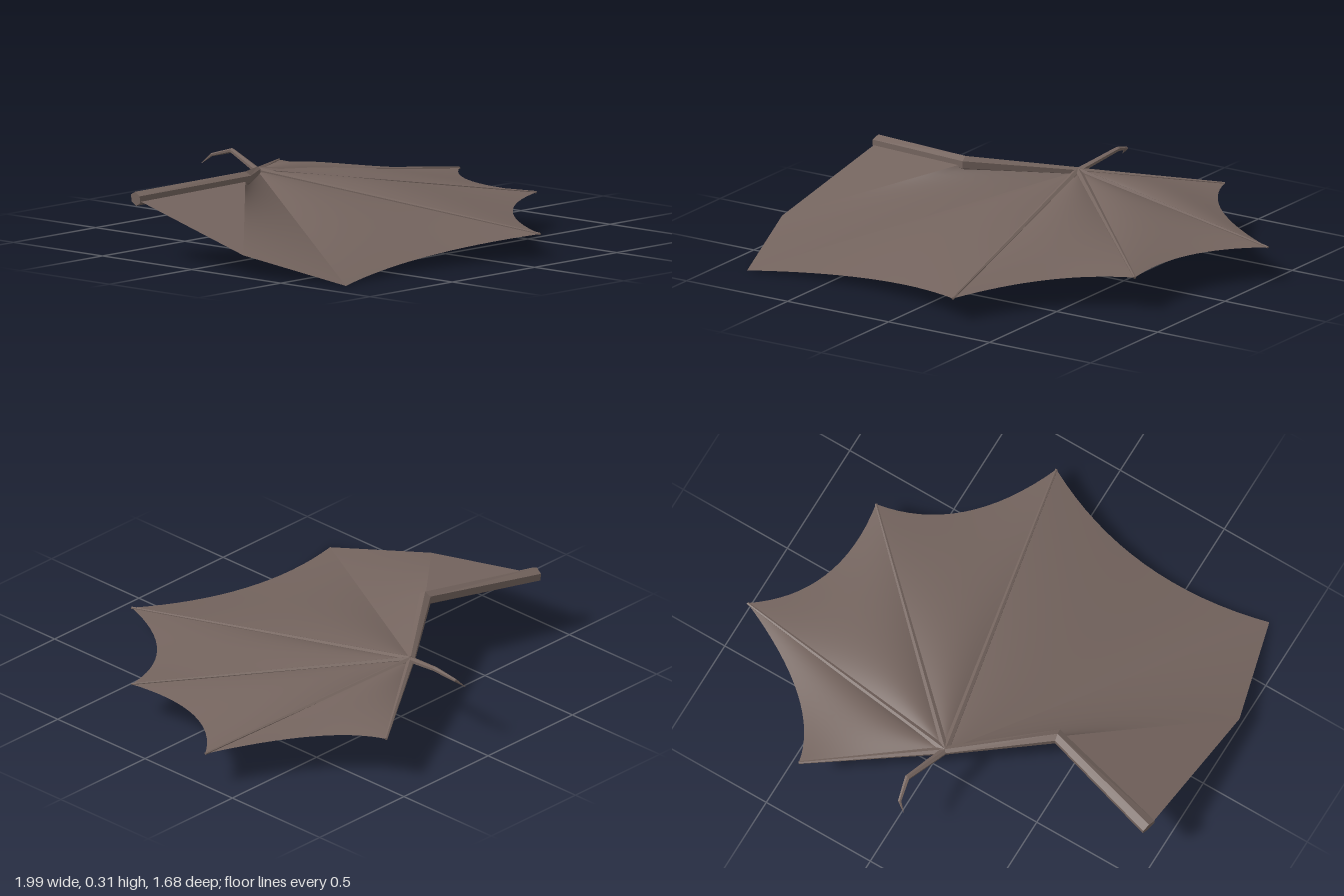
import * as THREE from 'three';

const V = (x, y, z) => new THREE.Vector3(x, y, z);

// Joints of the wing
const shoulder = V(-0.953, 0.252, -0.358);
const elbow = V(-0.433, 0.287, -0.222);
const wrist = V(-0.06, 0.245, -0.5);
const tips = [V(0.44, 0.19, -0.84), V(0.99, 0.145, -0.335), V(0.76, 0.145, 0.31), V(0.21, 0.098, 0.838)];
const rearTip = V(-0.87, 0.003, 0.745);
const innerTip = V(-1, 0.095, 0.29);

// Faceted tapering limb through a few points; each radius is [across, upward]
function limb(points, radii, sides = 6) {
  const pos = [];
  const rings = points.map((p, i) => {
    const dir = points[Math.min(i + 1, points.length - 1)].clone().sub(points[Math.max(i - 1, 0)]).normalize();
    const across = dir.clone().cross(V(0, 1, 0)).normalize();
    const up = across.clone().cross(dir);
    return Array.from({ length: sides }, (_, k) => {
      const a = ((k + 0.5) / sides) * Math.PI * 2;
      return p.clone().addScaledVector(across, Math.cos(a) * radii[i][0])
        .addScaledVector(up, Math.sin(a) * radii[i][1]);
    });
  });
  const tri = (a, b, c) => pos.push(...a.toArray(), ...b.toArray(), ...c.toArray());
  const last = rings.length - 1;
  for (let k = 0; k < sides; k++) {
    const n = (k + 1) % sides;
    for (let i = 0; i < last; i++) {
      tri(rings[i][k], rings[i][n], rings[i + 1][n]);
      tri(rings[i][k], rings[i + 1][n], rings[i + 1][k]);
    }
    tri(points[0], rings[0][n], rings[0][k]);
    tri(points[last], rings[last][k], rings[last][n]);
  }
  const g = new THREE.BufferGeometry();
  g.setAttribute('position', new THREE.Float32BufferAttribute(pos, 3));
  g.computeVertexNormals();
  return g;
}

// Smooth sheet from a rule point(u, v)
function sheet(point, nu = 16, nv = 16) {
  const pos = [], index = [];
  for (let j = 0; j <= nv; j++) {
    for (let i = 0; i <= nu; i++) {
      pos.push(...point(i / nu, j / nv).toArray());
      if (i < nu && j < nv) {
        const a = j * (nu + 1) + i, b = a + nu + 1;
        index.push(a, a + 1, b, a + 1, b + 1, b);
      }
    }
  }
  const g = new THREE.BufferGeometry();
  g.setAttribute('position', new THREE.Float32BufferAttribute(pos, 3));
  g.setIndex(index);
  g.computeVertexNormals();
  return g;
}

// Web between two fingers: scalloped outer edge, billowing slightly upward
function web(a, b, depth, bulge) {
  const mid = a.clone().lerp(b, 0.5);
  const pull = wrist.clone().sub(mid).setY(0).normalize();
  const edge = new THREE.QuadraticBezierCurve3(a, mid.addScaledVector(pull, depth * 2), b);
  return sheet((u, v) => {
    const p = wrist.clone().lerp(edge.getPoint(u), v);
    p.y += bulge * Math.sin(Math.PI * u) * Math.sin(Math.PI * v);
    return p;
  });
}

// Flat or twisted panel ruled between lines a-b and c-d
function ruled(a, b, c, d) {
  return sheet((u, v) => a.clone().lerp(b, u).lerp(c.clone().lerp(d, u), v));
}

export function createModel() {
  const wing = new THREE.Group();
  wing.name = 'wing';
  const hide = new THREE.MeshStandardMaterial({ color: 0x74645e, side: THREE.DoubleSide });
  hide.name = 'brown hide';
  const add = (name, geometry) => {
    const mesh = new THREE.Mesh(geometry, hide);
    mesh.name = name;
    wing.add(mesh);
  };

  // Arm from shoulder to wrist
  add('arm', limb([shoulder, elbow, wrist], [[0.038, 0.03], [0.031, 0.031], [0.018, 0.016]]));

  // Four fingers fanning out from the wrist
  tips.forEach((tip, i) => add(`finger${i + 1}`, limb([wrist, tip], [[0.017, 0.014], [0.006, 0.005]])));

  // Hooked thumb claw
  add('thumbClaw', limb(
    [wrist, V(0.003, 0.298, -0.7), V(-0.018, 0.272, -0.795), V(-0.052, 0.238, -0.82)],
    [[0.017, 0.012], [0.012, 0.01], [0.008, 0.007], [0.001, 0.001]]));

  // Webs between the fingers and back to the rear corner
  for (let i = 0; i < 3; i++) add(`fingerWeb${i + 1}`, web(tips[i], tips[i + 1], 0.11, 0.03));
  add('rearWeb', web(tips[3], rearTip, 0.11, 0.025));

  // Folded skin behind the forearm, and the panel next to the body
  add('forearmWeb', ruled(wrist, elbow, rearTip, innerTip));
  add('innerWeb', ruled(elbow, shoulder, innerTip, innerTip));
  return wing;
}
